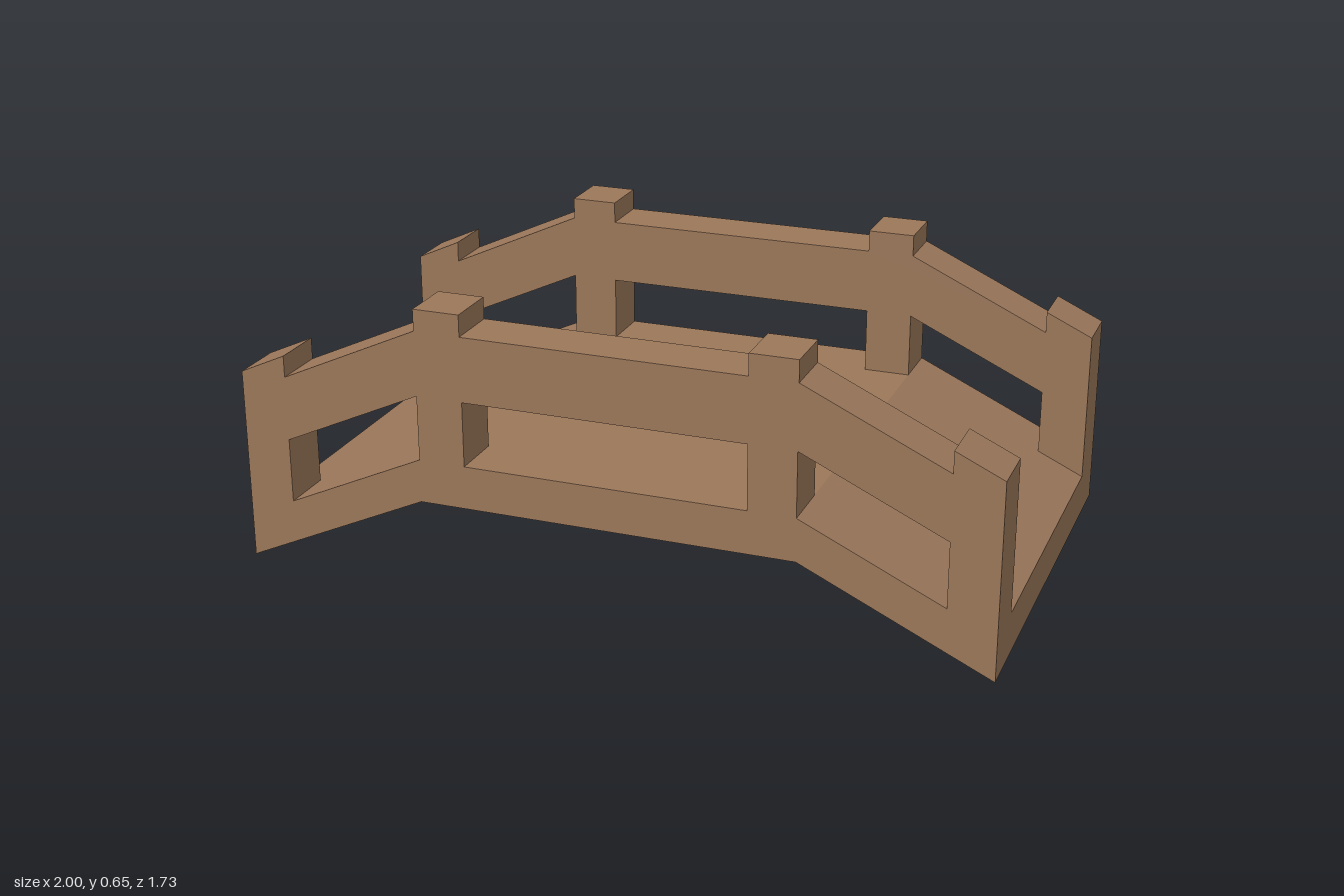
import * as THREE from 'three';

const END = 0.866, KNEE = END / 2, POST = END / 8;
const OUTER = 0.5, INNER = 0.375;
const IN_END = END - POST, IN_KNEE = KNEE - POST;

// Height of the lower edge, sloped at both ends and flat in the middle
const base = (x) => 0.2 * Math.min(1, (END - Math.abs(x)) / (END - KNEE));

// Points [x, height above the lower edge] turned into 2D points
const lift = (pts) => pts.map(([x, h]) => new THREE.Vector2(x, base(x) + h));

// Adds the mirror image of a left-to-centre run of points
const mirrored = (pts) => [...pts, ...pts.map(([x, h]) => [-x, h]).reverse()];

// Flat-shaded band along a path, spanning z0 to z1 and facing left of travel
function band(pts, z0, z1) {
  const path = lift(pts), positions = [];
  for (let i = 0; i < path.length - 1; i++) {
    const a = path[i], b = path[i + 1];
    positions.push(a.x, a.y, z1, b.x, b.y, z1, b.x, b.y, z0);
    positions.push(a.x, a.y, z1, b.x, b.y, z0, a.x, a.y, z0);
  }
  const geometry = new THREE.BufferGeometry();
  geometry.setAttribute('position', new THREE.Float32BufferAttribute(positions, 3));
  geometry.computeVertexNormals();
  return geometry;
}

export function createModel() {
  const group = new THREE.Group();
  group.name = 'footbridge';
  const wood = new THREE.MeshStandardMaterial({ color: 0x9b775a, side: THREE.DoubleSide });
  wood.name = 'brown wood';

  const add = (parent, geometry, name) => {
    const mesh = new THREE.Mesh(geometry, wood);
    mesh.name = name;
    parent.add(mesh);
  };

  // The bridge stands diagonally; it is a hollow shell, open underneath
  const bridge = new THREE.Group();
  bridge.name = 'bridge';
  bridge.rotation.y = -Math.PI / 6;
  group.add(bridge);

  // Bent walkway and the low boards closing its two ends
  add(bridge, band([[-END, 0.1], [-KNEE, 0.1], [KNEE, 0.1], [END, 0.1]], -INNER, INNER), 'deck');
  add(bridge, band([[-END, 0], [-END, 0.1]], -OUTER, OUTER), 'rightEndBoard');
  add(bridge, band([[END, 0.1], [END, 0]], -OUTER, OUTER), 'leftEndBoard');

  // Railing top with raised post caps, and the three openings
  const top = mirrored([
    [-END, 0.1], [-END, 0.45], [-IN_END, 0.45], [-IN_END, 0.4],
    [-KNEE, 0.4], [-KNEE, 0.45], [-IN_KNEE, 0.45], [-IN_KNEE, 0.4],
  ]);
  const openings = [[-IN_END, -KNEE], [-IN_KNEE, IN_KNEE], [KNEE, IN_END]]
    .map(([a, b]) => [[a, 0.1], [b, 0.1], [b, 0.25], [a, 0.25]]);

  // Outer sheet reaches the lower edge
  const outerShape = new THREE.Shape(lift([
    [-END, 0], [-KNEE, 0], [KNEE, 0], [END, 0], ...[...top].reverse(),
  ]));
  outerShape.holes = openings.map((o) => new THREE.Path(lift(o).reverse()));

  // Inner sheet stands on the deck, open between the posts
  const innerShape = new THREE.Shape(lift([
    ...mirrored([
      [-IN_END, 0.1], [-IN_END, 0.25], [-KNEE, 0.25],
      [-KNEE, 0.1], [-IN_KNEE, 0.1], [-IN_KNEE, 0.25],
    ]),
    ...[...top].reverse(),
  ]));

  // Two identical hollow railings, turned back to back
  for (const name of ['frontRailing', 'backRailing']) {
    const railing = new THREE.Group();
    railing.name = name;
    railing.rotation.y = name === 'backRailing' ? Math.PI : 0;
    add(railing, new THREE.ShapeGeometry(outerShape).translate(0, 0, OUTER), 'outerSide');
    add(railing, new THREE.ShapeGeometry(innerShape).rotateY(Math.PI).translate(0, 0, INNER), 'innerSide');
    add(railing, band(top, INNER, OUTER), 'railTopAndPostCaps');
    for (const o of openings) add(railing, band([...o, o[0]], INNER, OUTER), 'openingLining');
    bridge.add(railing);
  }
  return group;
}
